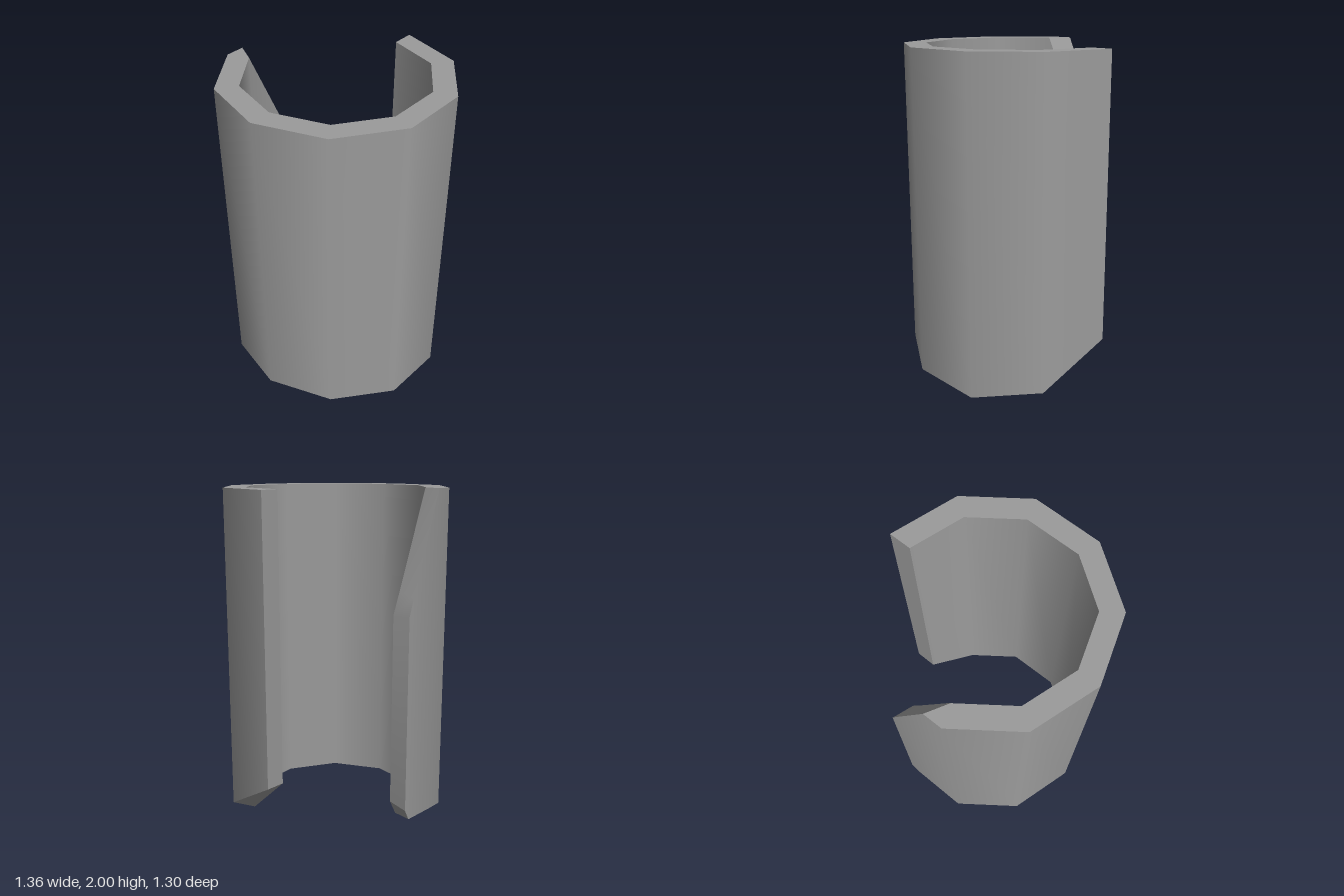
import * as THREE from 'three';
import { toCreasedNormals } from 'three/addons/utils/BufferGeometryUtils.js';

const OUTER = 0.682, INNER = 0.546, STEP = Math.PI / 5;

// Point on a ten-sided ring; a fractional k lies on the straight side between corners
function ringPoint(radius, k, y) {
  const a = Math.floor(k), t = k - a;
  const mix = f => radius * (f(a * STEP) * (1 - t) + f((a + 1) * STEP) * t);
  return [mix(Math.cos), y, mix(Math.sin)];
}

// Smooth normal: radial at the corners, easing to the flat side's own normal at both ends
function ringNormal(k, sign) {
  const middle = THREE.MathUtils.clamp(k, -1, 5);
  const angle = (middle + (k - middle) / 2) * STEP;
  return [sign * Math.cos(angle), 0, sign * Math.sin(angle)];
}

// Cross-sections along the wall: outer [k, bottom, top], inner [k, bottom, top]
const sections = [
  [[-2, 0.29, 2], [-2, 0.28, 2]],
  [[-1, 0.05, 2], [-1, 0, 2]],
  [[0, 0, 2], [0, 0, 2]],
  [[1, 0.04, 2], [1, 0, 2]],
  [[2, 0.08, 2], [2, 0, 2]],
  [[3, 0.08, 2], [3, 0, 2]],
  [[4, 0.04, 2], [4, 0, 2]],
  [[5, 0.04, 2], [5, 0, 2]],
  // side that slopes down to the open gap, with a clipped lower corner
  [[5.28, 0.05, 2], [5.01, 0, 2]],
  [[5.9, 0.08, 1.41], [5.81, 0.06, 1.43]],
  [[6, 0.15, 1.31], [6, 0.16, 1.3]],
];
const LAST = (sections.length - 1) * 4;

const quad = (a, b, c, d) => [a, b, c, a, c, d];

// Strip joining corner j to the next corner of every cross-section
function strip(j) {
  const n = (j + 1) % 4, index = [];
  for (let s = 0; s < LAST; s += 4) index.push(...quad(s + j, s + n, s + 4 + n, s + 4 + j));
  return index;
}

// Each cross-section runs: outer bottom, outer top, inner top, inner bottom
function tubeGeometry(index) {
  const positions = [], normals = [];
  for (const [o, i] of sections) {
    positions.push(
      ...ringPoint(OUTER, o[0], o[1]), ...ringPoint(OUTER, o[0], o[2]),
      ...ringPoint(INNER, i[0], i[2]), ...ringPoint(INNER, i[0], i[1]));
    const out = ringNormal(o[0], 1), inward = ringNormal(i[0], -1);
    normals.push(...out, ...out, ...inward, ...inward);
  }
  const geometry = new THREE.BufferGeometry();
  geometry.setAttribute('position', new THREE.Float32BufferAttribute(positions, 3));
  geometry.setAttribute('normal', new THREE.Float32BufferAttribute(normals, 3));
  geometry.setIndex(index);
  return geometry;
}

export function createModel() {
  const group = new THREE.Group();
  group.name = 'openTube';
  const material = new THREE.MeshStandardMaterial({ color: 0x9b9b9b });
  const add = (name, geometry) => {
    const mesh = new THREE.Mesh(geometry, material);
    mesh.name = name;
    group.add(mesh);
  };

  add('outerWall', tubeGeometry(strip(0)));
  add('innerWall', tubeGeometry(strip(2)));

  // top and bottom rims, and the end faces on both sides of the gap
  const ends = [...quad(3, 2, 1, 0), ...quad(LAST, LAST + 1, LAST + 2, LAST + 3)];
  add('rim', toCreasedNormals(tubeGeometry([...strip(1), ...strip(3), ...ends]), 0.5));
  return group;
}
